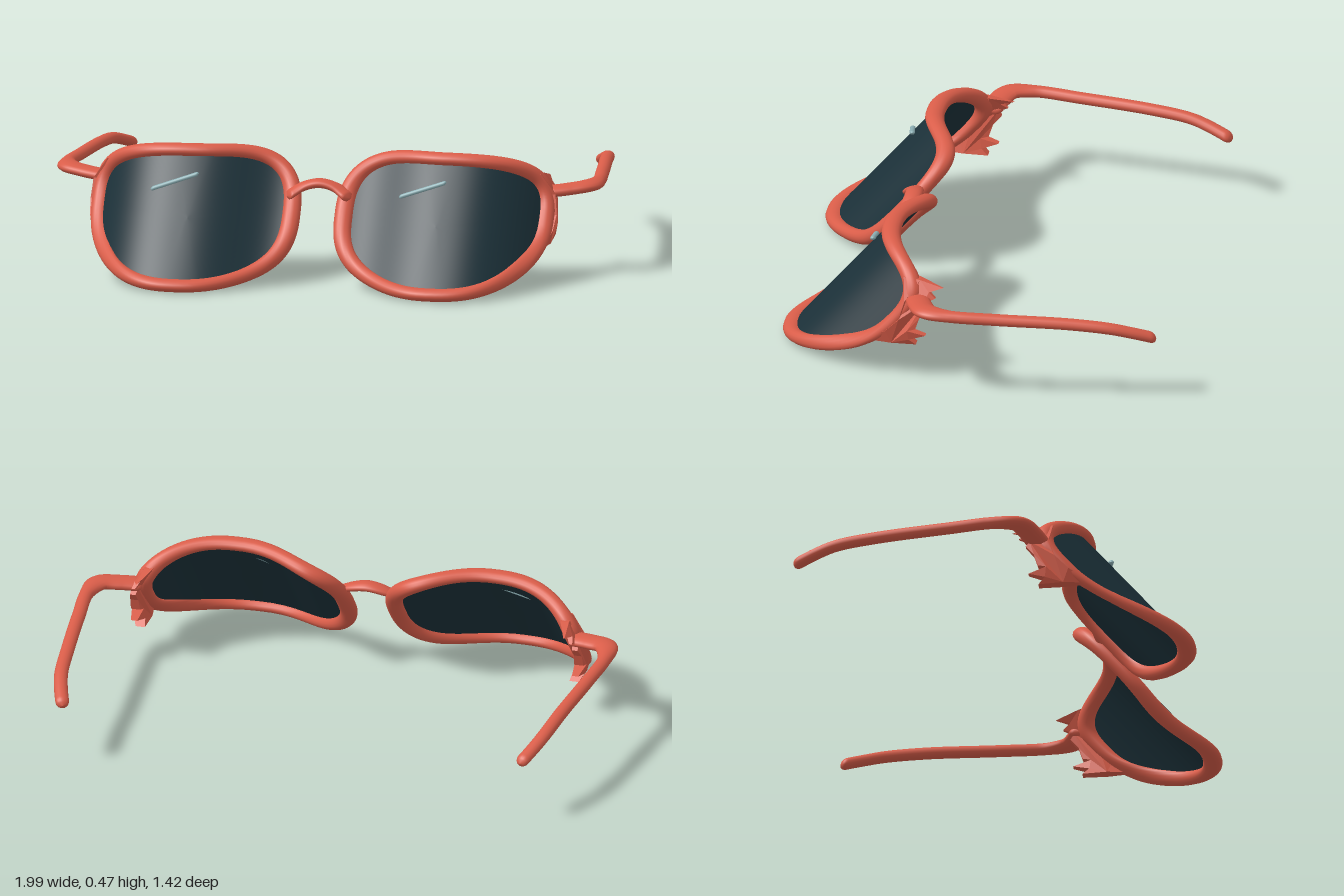
import * as THREE from 'three';

const CX = 0.4525, CY = 0.237, HW = 0.3575, HH = 0.211, POWER = 2.7;

// Depth of the wrapped, tilted lens surface at (x, y)
function surfaceZ(x, y) {
  const outer = Math.max(0, x - 0.47) / 0.34, inner = Math.max(0, 0.47 - x) / 0.375;
  const drop = 0.25 * outer ** 2.6 + 0.28 * inner ** 2 / (1 + 1.2 * inner ** 4);
  return 0.672 - 0.86 * (y - 0.025) - drop;
}

// Point on the rounded lens outline, k = 1 at the rim and 0 at the centre
function outline(t, k = 1) {
  const a = t * Math.PI * 2, p = 2 / POWER;
  const c = Math.cos(a), s = Math.sin(a);
  const x = CX + k * HW * Math.sign(c) * Math.abs(c) ** p;
  const y = CY + k * HH * Math.sign(s) * Math.abs(s) ** p;
  return new THREE.Vector3(x, y, surfaceZ(x, y));
}

// Outer edge of the outline at height y
const outerX = y => CX + HW * Math.max(0, 1 - (Math.abs(y - CY) / HH) ** POWER) ** (1 / POWER);

function buildGeometry(pos, index) {
  const g = new THREE.BufferGeometry();
  g.setAttribute('position', new THREE.Float32BufferAttribute(pos, 3));
  g.setIndex(index);
  g.computeVertexNormals();
  return g;
}

// Sweep an elliptical section along a path; radii(t) gives [sideways, along up]
function sweep(pointAt, radii, up, segs, closed = false, sides = 16) {
  const pos = [], index = [], rings = closed ? segs : segs + 1, e = 0.004;
  const at = t => pointAt(closed ? (t + 1) % 1 : THREE.MathUtils.clamp(t, 0, 1));
  for (let i = 0; i < rings; i++) {
    const t = i / segs, p = at(t);
    const tangent = at(t + e).sub(at(t - e)).normalize();
    const n = up.clone().cross(tangent).normalize();
    const [a, b] = radii(t);
    for (let j = 0; j < sides; j++) {
      const f = j / sides * Math.PI * 2;
      const v = p.clone().addScaledVector(n, a * Math.cos(f)).addScaledVector(up, b * Math.sin(f));
      pos.push(v.x, v.y, v.z);
    }
  }
  for (let i = 0; i < segs; i++) {
    const r0 = i * sides, r1 = ((i + 1) % rings) * sides;
    for (let j = 0; j < sides; j++) {
      const k = (j + 1) % sides;
      index.push(r0 + j, r0 + k, r1 + j, r0 + k, r1 + k, r1 + j);
    }
  }
  return buildGeometry(pos, index);
}

// Rounds off the two ends of an open sweep
const roundEnd = (t, w) => {
  const d = Math.min(t, 1 - t) / w;
  return d >= 1 ? 1 : Math.sqrt(Math.max(1e-4, 1 - (1 - d) ** 2));
};

// Curved lens sheet made of concentric outlines
function lensGeometry() {
  const rings = 18, n = 96, pos = [], index = [];
  for (let i = 0; i <= rings; i++) {
    for (let j = 0; j < n; j++) {
      const p = outline(j / n, Math.max(0.001, i / rings));
      pos.push(p.x, p.y, p.z);
    }
  }
  for (let i = 0; i < rings; i++) {
    for (let j = 0; j < n; j++) {
      const k = (j + 1) % n, a = i * n, b = a + n;
      index.push(a + j, b + j, a + k, a + k, b + j, b + k);
    }
  }
  return buildGeometry(pos, index);
}

// Jagged side fin that hugs the rim and tapers towards its points
function finGeometry() {
  const pts = [[0.22, 0.385], [0.16, 0.378], [0.075, 0.355], [0.125, 0.342], [0.10, 0.322], [0.14, 0.305],
    [0.125, 0.285], [0.155, 0.25], [0.17, 0.205], [0.20, 0.197], [0.135, 0.177], [0.195, 0.16],
    [0.17, 0.137], [0.26, 0.14], [0.36, 0.14], [0.28, 0.19], [0.23, 0.24], [0.21, 0.31]];
  const shape = new THREE.Shape(pts.map(p => new THREE.Vector2(...p)));
  const g = new THREE.ExtrudeGeometry(shape, { depth: 0.044, bevelEnabled: false });
  g.rotateY(-Math.PI / 2).translate(0.022, 0, 0);
  const p = g.attributes.position;
  for (let i = 0; i < p.count; i++) {
    const z = p.getZ(i);
    const taper = THREE.MathUtils.clamp((z - 0.06) / 0.14, 0.08, 1) * THREE.MathUtils.clamp((0.38 - z) / 0.12, 0.2, 1);
    p.setX(i, outerX(p.getY(i)) + 0.018 + p.getX(i) * taper);
  }
  g.computeVertexNormals();
  return g;
}

// Mirrored copy with the winding restored
function mirrored(geometry) {
  const g = geometry.index ? geometry.toNonIndexed() : geometry.clone();
  g.scale(-1, 1, 1);
  for (const attr of [g.attributes.position, g.attributes.normal]) {
    const a = attr.array;
    for (let i = 0; i < a.length; i += 9) {
      for (let k = 0; k < 3; k++) [a[i + 3 + k], a[i + 6 + k]] = [a[i + 6 + k], a[i + 3 + k]];
    }
  }
  return g;
}

export function createModel() {
  const model = new THREE.Group();
  model.name = 'sunglasses';
  const frame = new THREE.MeshStandardMaterial({ name: 'coralFrame', color: 0xd95d49 });
  const tint = new THREE.MeshStandardMaterial({ name: 'darkLens', color: 0x1b3038, side: THREE.DoubleSide });
  const shine = new THREE.MeshStandardMaterial({ name: 'paleGlint', color: 0x8fb3b8 });
  const Y = new THREE.Vector3(0, 1, 0), Z = new THREE.Vector3(0, 0, 1);

  const add = (name, geometry, material) => {
    const mesh = new THREE.Mesh(geometry, material);
    mesh.name = name;
    model.add(mesh);
  };
  const curve = pts => {
    const c = new THREE.CatmullRomCurve3(pts.map(p => new THREE.Vector3(...p)));
    return t => c.getPointAt(t);
  };
  const addPair = (name, geometry, material) => {
    add('left' + name, geometry, material);
    add('right' + name, mirrored(geometry), material);
  };

  // Rims, lenses and side fins
  const rimRadii = t => [0.023 + 0.01 * Math.cos(t * Math.PI * 2) ** 2, 0.035];
  addPair('Rim', sweep(t => outline(t), rimRadii, Z, 144, true), frame);
  addPair('Lens', lensGeometry(), tint);
  addPair('Fin', finGeometry(), frame);

  // Temples with a thick hinge corner and a dropped tip
  const temple = curve([[0.8, 0.31, 0.17], [0.88, 0.318, 0.145], [0.943, 0.325, 0.112], [0.966, 0.323, 0.03],
    [0.951, 0.315, -0.15], [0.922, 0.304, -0.4], [0.903, 0.288, -0.55], [0.885, 0.27, -0.62], [0.853, 0.24, -0.71]]);
  const templeRadii = t => {
    const e = roundEnd(t, 0.025);
    const wide = 1 - THREE.MathUtils.smoothstep(t, 0.14, 0.28);
    return [e * (0.025 + 0.02 * wide), e * 0.021];
  };
  addPair('Temple', sweep(temple, templeRadii, Y, 200), frame);

  // Arched nose bridge
  const bridge = curve([[-0.115, 0.298, 0.345], [-0.06, 0.33, 0.318], [0, 0.343, 0.311], [0.06, 0.33, 0.318], [0.115, 0.298, 0.345]]);
  add('bridge', sweep(bridge, t => [0.032 * roundEnd(t, 0.05), 0.017 * roundEnd(t, 0.05)], Y, 40), frame);

  // Slanted glints on the front of the lenses, both leaning the same way
  const glints = {
    leftGlint: [[0.303, 0.321, 0.397], [0.475, 0.379, 0.385]],
    rightGlint: [[-0.6, 0.321, 0.412], [-0.428, 0.379, 0.387]],
  };
  for (const [name, ends] of Object.entries(glints)) {
    add(name, sweep(curve(ends), t => [0.01 * roundEnd(t, 0.06), 0.008 * roundEnd(t, 0.06)], Y, 40, false, 10), shine);
  }
  return model;
}
